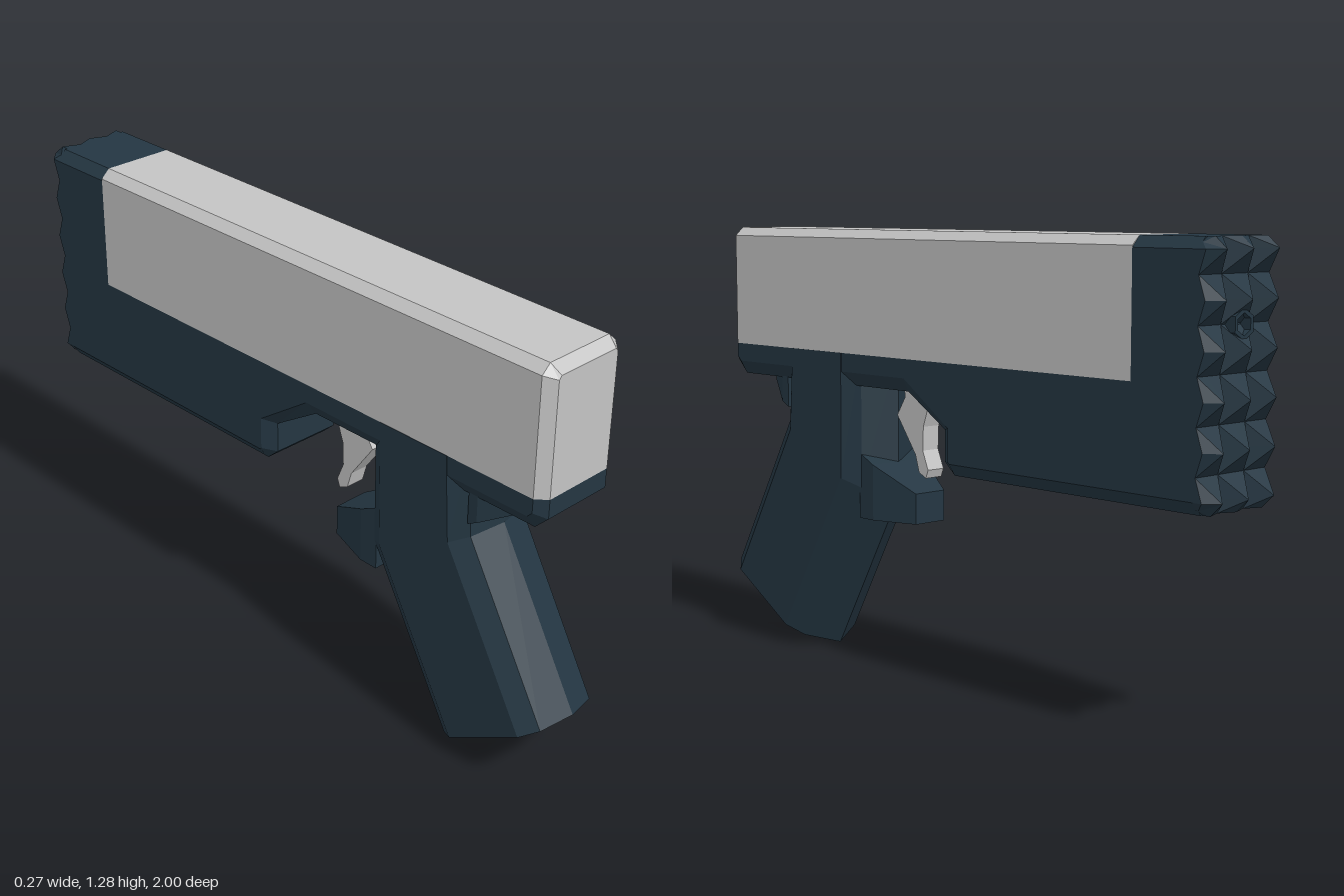
import * as THREE from 'three';

const dark = new THREE.MeshStandardMaterial({ color: 0x243642, flatShading: true });
dark.name = 'dark navy';
const light = new THREE.MeshStandardMaterial({ color: 0xc4c4c4, flatShading: true });
light.name = 'light grey';

function meshFrom(tris, material, name) {
  const geo = new THREE.BufferGeometry();
  geo.setAttribute('position', new THREE.Float32BufferAttribute(tris.flat(2), 3));
  geo.computeVertexNormals();
  const mesh = new THREE.Mesh(geo, material);
  mesh.name = name;
  return mesh;
}

const vec = (p) => new THREE.Vector3(...p);
const mean = (pts) => pts.reduce((s, p) => s.add(vec(p)), new THREE.Vector3()).divideScalar(pts.length);
const flip = ([a, b, c]) => [a, c, b];

// Closed solid through rings of equal point count; a and b are the axes the caps are flattened to
function loft(name, material, rings, a, b) {
  let sides = [];
  for (let r = 0; r + 1 < rings.length; r++) {
    const n = rings[r].length;
    for (let i = 0; i < n; i++) {
      const j = (i + 1) % n, p = rings[r], q = rings[r + 1];
      sides.push([p[i], p[j], q[j]], [p[i], q[j], q[i]]);
    }
  }
  const mid = mean(rings.flat());
  const volume = sides.reduce((s, t) => {
    const [u, v, w] = t.map((p) => vec(p).sub(mid));
    return s + u.dot(v.cross(w));
  }, 0);
  if (volume < 0) sides = sides.map(flip);
  const first = rings[0], last = rings[rings.length - 1];
  const axis = mean(last).sub(mean(first));
  for (const [ring, sign] of [[first, -1], [last, 1]]) {
    const flat = ring.map((p) => new THREE.Vector2(p[a], p[b]));
    for (const f of THREE.ShapeUtils.triangulateShape(flat, [])) {
      const t = f.map((i) => ring[i]);
      const [u, v, w] = t.map(vec);
      const out = v.sub(u).cross(w.sub(u)).dot(axis) * sign;
      sides.push(out > 0 ? t : flip(t));
    }
  }
  return meshFrom(sides, material, name);
}

// Side profile given as [z, y], placed at x
const sideRing = (profile, x) => profile.map(([z, y]) => [x, y, z]);
// Rectangle across the width at depth z
const rectRing = (w, y0, y1, z) => [[-w, y0, z], [w, y0, z], [w, y1, z], [-w, y1, z]];

function makeSlide() {
  const section = (w, wt, y, yt, z) => [
    [-w, 0.925, z], [w, 0.925, z], [w, y, z], [wt, yt, z], [-wt, yt, z], [-w, y, z],
  ];
  return loft('slide', light, [
    section(0.135, 0.108, 1.26, 1.285, -0.73),
    section(0.135, 0.108, 1.26, 1.285, 0.925),
    section(0.108, 0.1, 1.25, 1.26, 0.955),
  ], 0, 1);
}

function makeFrame() {
  const inner = [[0.955, 0.925], [0.955, 0.87], [0.915, 0.83], [0.14, 0.83], [-0.015, 0.735],
    [-0.015, 0.645], [-0.055, 0.61], [-0.94, 0.61], [-0.94, 1.285], [-0.73, 1.285], [-0.73, 0.925]];
  const outer = [[0.925, 0.925], [0.925, 0.885], [0.91, 0.87], [0.13, 0.87], [-0.055, 0.745],
    [-0.055, 0.65], [-0.06, 0.645], [-0.94, 0.645], [-0.94, 1.255], [-0.73, 1.255], [-0.73, 0.925]];
  return loft('frame', dark, [
    sideRing(outer, -0.135), sideRing(inner, -0.108), sideRing(inner, 0.108), sideRing(outer, 0.135),
  ], 2, 1);
}

// Six-sided-feeling grip: ridged front and back, flat sides, bent near the top
function makeGrip() {
  const half = [[0, 0], [0.06, 0.1], [0.17, 0.136], [0.75, 0.136], [0.875, 0.1], [1, 0]];
  const outline = [...half, ...half.slice(1, -1).reverse().map(([t, x]) => [t, -x])];
  const station = ([z0, y0], [z1, y1]) =>
    outline.map(([t, x]) => [x, y0 + (y1 - y0) * t, z0 + (z1 - z0) * t]);
  return loft('grip', dark, [
    station([1, 0.24], [0.595, 0]),
    station([0.73, 0.71], [0.31, 0.5]),
    station([0.71, 0.925], [0.31, 0.925]),
  ], 0, 2);
}

// Rear face with rows of pyramids
function makeSpikes() {
  const xs = [-0.135, -0.135, -0.1, -0.05, 0, 0.05, 0.1, 0.135, 0.135];
  const ys = [0.61, 0.61];
  for (let i = 0; i < 11; i++) ys.push(0.645 + i * 0.061);
  ys.push(1.285, 1.285);
  const nx = xs.length - 1, ny = ys.length - 1;
  const point = (i, j) => {
    const edgeX = i < 2 || i > nx - 2, edgeY = j < 2 || j > ny - 2;
    const trim = edgeX && edgeY ? 0.014 : 0;
    const x = xs[i] - Math.sign(xs[i]) * trim;
    const y = ys[j] - Math.sign(ys[j] - 0.95) * trim;
    let z = -0.942;
    if (i === 0 || j === 0 || i === nx || j === ny) z = -0.935;
    else if (i % 2 === 0 && j % 2 === 0) z = -1;
    else if ((edgeX && j % 2 === 0) || (edgeY && i % 2 === 0)) z = -0.963;
    return [x, y, z];
  };
  const tris = [];
  for (let i = 0; i < nx; i++) {
    for (let j = 0; j < ny; j++) {
      const a = point(i, j), b = point(i + 1, j), c = point(i + 1, j + 1), d = point(i, j + 1);
      // diagonals run out from each tip
      if ((i + j) % 2 === 0) tris.push([a, c, b], [a, d, c]);
      else tris.push([a, d, b], [b, d, c]);
    }
  }
  return meshFrom(tris, dark, 'rearSpikes');
}

// Short hexagonal opening among the spikes
function makeMuzzle() {
  const profile = [[0.04, 0], [0.04, 0.035], [0.028, 0.035], [0.028, 0.004], [0, 0.004]];
  const geo = new THREE.LatheGeometry(profile.map(([r, y]) => new THREE.Vector2(r, y)), 6);
  const mesh = new THREE.Mesh(geo, dark);
  mesh.name = 'muzzle';
  mesh.rotation.x = -Math.PI / 2;
  mesh.position.set(0, 1.072, -0.94);
  return mesh;
}

function makeTrigger() {
  const profile = [[0.25, 0.85], [0.245, 0.8], [0.28, 0.745], [0.24, 0.69], [0.2, 0.635], [0.185, 0.585],
    [0.155, 0.57], [0.145, 0.595], [0.168, 0.65], [0.165, 0.72], [0.14, 0.79], [0.14, 0.85]];
  return loft('trigger', light, [sideRing(profile, -0.03), sideRing(profile, 0.03)], 2, 1);
}

export function createModel() {
  const group = new THREE.Group();
  group.name = 'model';
  const tail = loft('gripTail', dark, [
    rectRing(0.11, 0.74, 0.86, 0.7),
    rectRing(0.11, 0.755, 0.85, 0.73),
    rectRing(0.05, 0.812, 0.835, 0.84),
  ], 0, 1);
  const stub = loft('guardStub', dark, [
    rectRing(0.1, 0.435, 0.63, 0.37),
    rectRing(0.1, 0.435, 0.6, 0.31),
    rectRing(0.055, 0.435, 0.525, 0.17),
  ], 0, 1);
  group.add(makeSlide(), makeFrame(), makeGrip(), makeSpikes(), makeMuzzle(), makeTrigger(), tail, stub);
  return group;
}
